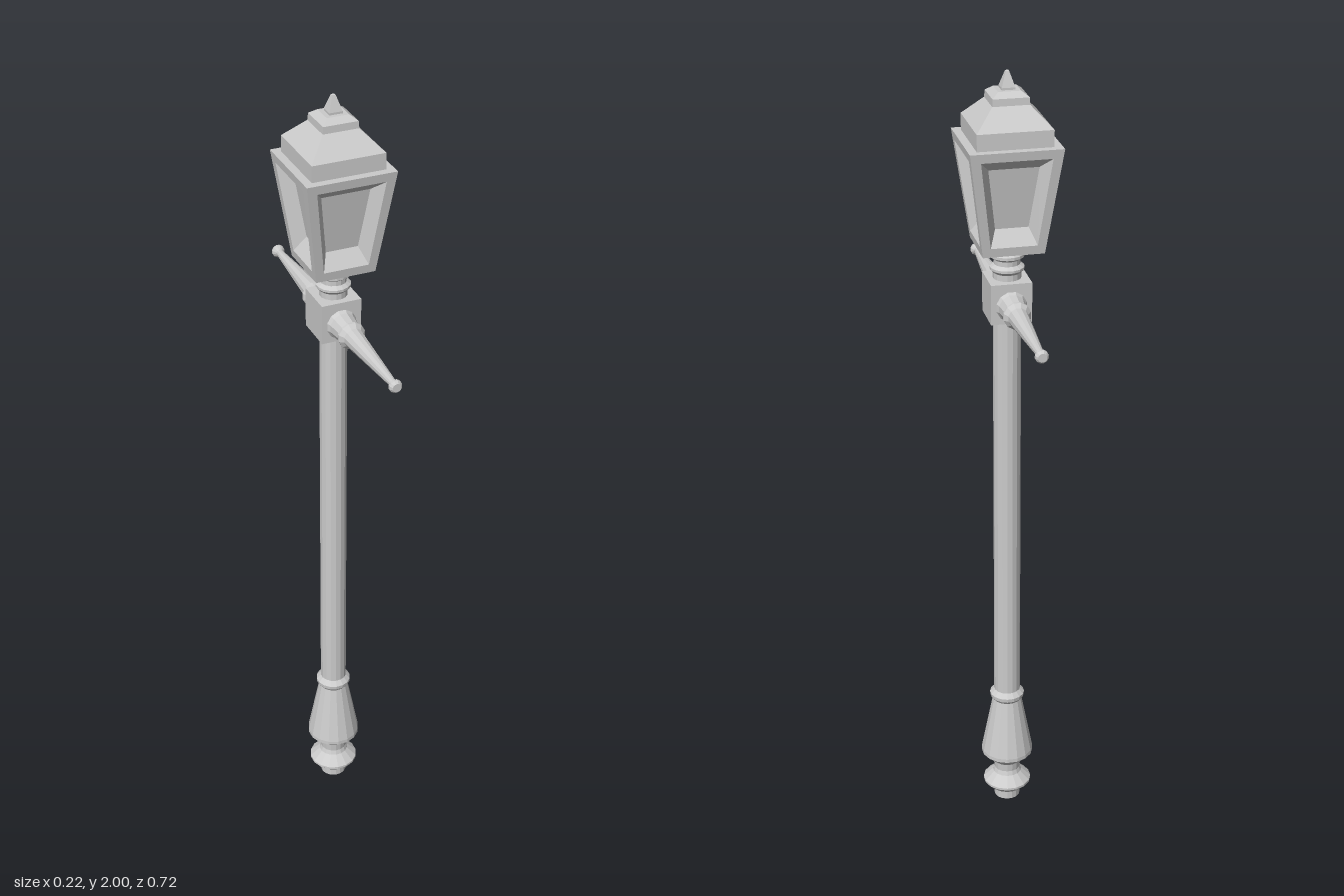
import * as THREE from 'three';

const material = new THREE.MeshStandardMaterial({ color: 0xcccccc, flatShading: true });

function part(name, geometry) {
  const mesh = new THREE.Mesh(geometry, material);
  mesh.name = name;
  return mesh;
}

// Turned part from [radius, height] pairs, listed bottom to top
function turned(name, profile, sides) {
  const points = profile.map(([r, y]) => new THREE.Vector2(r, y));
  return part(name, new THREE.LatheGeometry(points, sides, Math.PI / sides));
}

// Square stepped part from [half width, height] pairs
function squareTurned(name, profile) {
  return turned(name, profile.map(([h, y]) => [h * Math.SQRT2, y]), 4);
}

// Nested four-corner loops: outer frame, opening edge, recessed pane
function windowGeometry() {
  const loop = (y0, w0, z0, y1, w1, z1) =>
    [[-w0, y0, z0], [w0, y0, z0], [w1, y1, z1], [-w1, y1, z1]];
  const loops = [
    loop(1.58, 0.074, 0.074, 1.84, 0.11, 0.11),
    loop(1.602, 0.056, 0.077, 1.818, 0.084, 0.107),
    loop(1.64, 0.04, 0.05, 1.79, 0.06, 0.072),
  ];
  const positions = [];
  const quad = (a, b, c, d) => positions.push(...a, ...b, ...c, ...a, ...c, ...d);
  for (let k = 0; k < 2; k++) {
    for (let i = 0; i < 4; i++) {
      const j = (i + 1) % 4;
      quad(loops[k][i], loops[k][j], loops[k + 1][j], loops[k + 1][i]);
    }
  }
  quad(...loops[2]);
  const geometry = new THREE.BufferGeometry();
  geometry.setAttribute('position', new THREE.Float32BufferAttribute(positions, 3));
  geometry.computeVertexNormals();
  return geometry;
}

export function createModel() {
  const model = new THREE.Group();
  model.name = 'streetLamp';

  // Foot with a bulge, vase and ring
  model.add(turned('base', [
    [0, 0], [0.034, 0], [0.034, 0.022], [0.045, 0.03], [0.063, 0.048], [0.063, 0.054],
    [0.038, 0.078], [0.034, 0.09], [0.036, 0.112], [0.068, 0.142], [0.068, 0.152],
    [0.038, 0.31], [0.044, 0.318], [0.045, 0.328], [0.034, 0.34],
  ], 16));

  model.add(turned('pole', [[0.034, 0.32], [0.034, 1.41]], 16));

  // Square block that carries the two ladder arms
  const block = part('crossBlock', new THREE.BoxGeometry(0.1, 0.1, 0.1));
  block.position.y = 1.45;
  model.add(block);

  const armProfile = [
    [0.04, 0.045], [0.034, 0.06], [0.029, 0.1], [0.034, 0.104], [0.034, 0.11], [0.025, 0.121],
    [0.009, 0.34], [0.016, 0.348], [0.016, 0.354], [0.011, 0.361], [0, 0.361],
  ];
  for (const side of [1, -1]) {
    const arm = turned(side > 0 ? 'frontArm' : 'backArm', armProfile, 12);
    arm.rotation.x = side * Math.PI / 2;
    arm.position.y = 1.443;
    model.add(arm);
  }

  // Neck with two rings
  model.add(turned('neck', [
    [0.034, 1.49], [0.034, 1.515], [0.042, 1.523], [0.042, 1.529], [0.032, 1.536],
    [0.032, 1.548], [0.042, 1.555], [0.042, 1.562], [0.034, 1.57], [0.034, 1.585],
  ], 16));

  // Tapered lantern with four recessed windows
  const lantern = new THREE.Group();
  lantern.name = 'lantern';
  const windowShape = windowGeometry();
  for (let i = 0; i < 4; i++) {
    const pane = part('lanternWindow', windowShape);
    pane.rotation.y = i * Math.PI / 2;
    lantern.add(pane);
  }
  lantern.add(squareTurned('lanternFloor', [[0, 1.58], [0.074, 1.58]]));
  lantern.add(squareTurned('roof', [
    [0.11, 1.84], [0.09, 1.84], [0.09, 1.88], [0.044, 1.928],
    [0.043, 1.945], [0.027, 1.957], [0, 1.957],
  ]));
  lantern.add(squareTurned('finial', [
    [0.016, 1.955], [0.016, 1.962], [0.004, 1.998], [0, 2],
  ]));
  model.add(lantern);

  return model;
}
